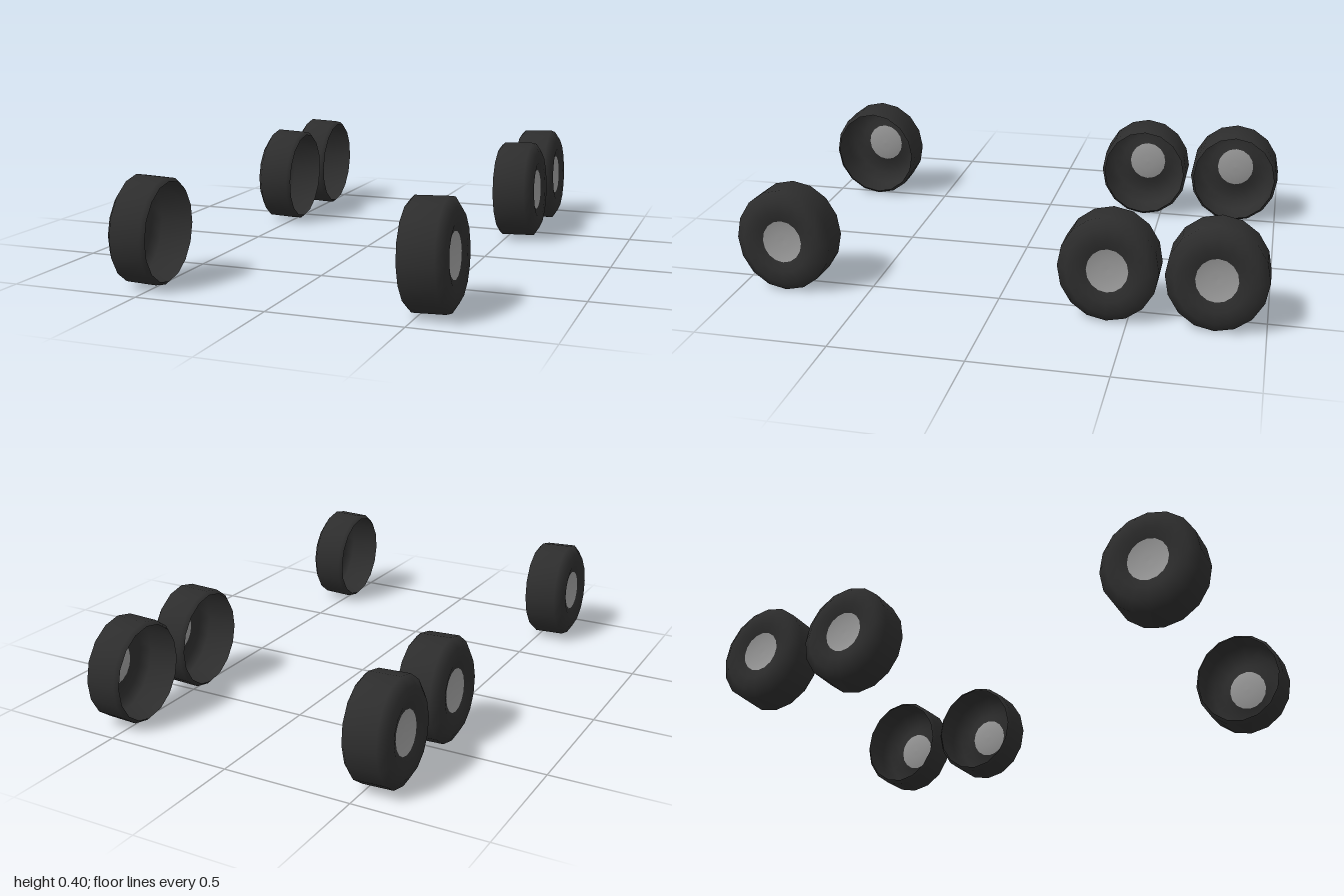
import * as THREE from 'three';

const SIDES = 16;
const CAMBER = 0.038;

// Lathe whose axis points along +x (outward), slightly narrowed front to back
function turned(profile) {
  const points = profile.map(([radius, along]) => new THREE.Vector2(radius, along));
  const geometry = new THREE.LatheGeometry(points, SIDES);
  geometry.rotateZ(-Math.PI / 2);
  geometry.scale(1, 1, 0.925);
  return geometry;
}

export function createModel() {
  const rubber = new THREE.MeshStandardMaterial({ color: 0x2d2d2d, side: THREE.DoubleSide });
  rubber.name = 'dark rubber';
  const metal = new THREE.MeshStandardMaterial({ color: 0x999999, side: THREE.DoubleSide });
  metal.name = 'grey metal';

  // Hollow tyre shell, open on its inner side: inner bevel, tread, shoulder, sidewall
  const tyreGeometry = turned([
    [0.186, -0.08], [0.2, -0.065], [0.2, 0.055], [0.164, 0.08], [0.12, 0.082], [0.083, 0.07],
  ]);
  // Shallow dished hub disc
  const hubGeometry = turned([[0.084, 0.07], [0.06, 0.064], [0.03, 0.061], [0, 0.06]]);

  const model = new THREE.Group();
  model.name = 'wheelSet';

  const rows = [['front', 0.815], ['middle', -0.425], ['rear', -0.815]];
  for (const [row, z] of rows) {
    for (const side of [1, -1]) {
      const wheel = new THREE.Group();
      wheel.name = row + (side > 0 ? 'Left' : 'Right') + 'Wheel';
      wheel.position.set(side * 0.542, 0.202, z);
      if (side < 0) wheel.rotation.y = Math.PI;

      // Top of each wheel leans inward
      const leaning = new THREE.Group();
      leaning.name = 'leaningWheel';
      leaning.rotation.z = CAMBER;
      const tyre = new THREE.Mesh(tyreGeometry, rubber);
      tyre.name = 'tyre';
      const hub = new THREE.Mesh(hubGeometry, metal);
      hub.name = 'hub';
      leaning.add(tyre, hub);
      wheel.add(leaning);
      model.add(wheel);
    }
  }
  return model;
}
